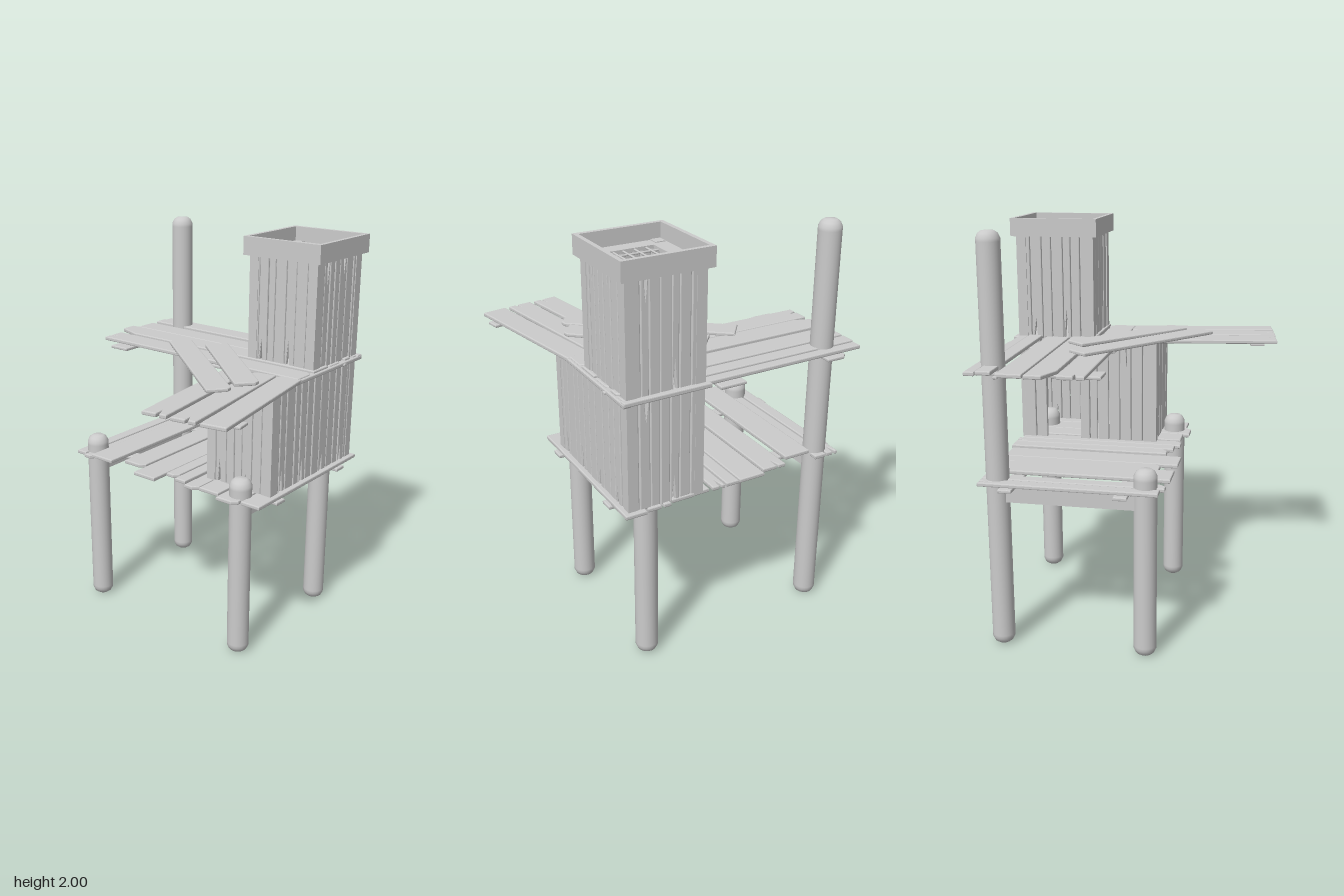
import * as THREE from 'three';

const mat = new THREE.MeshStandardMaterial({ color: 0xcccccc });

// Small seeded generator for worn board ends
let seed = 7;
const rnd = () => (seed = (seed * 16807) % 2147483647) / 2147483647;

function add(parent, geo, name, x = 0, y = 0, z = 0) {
  const m = new THREE.Mesh(geo, mat);
  m.name = name;
  m.position.set(x, y, z);
  parent.add(m);
  return m;
}

// Worn board: width along x, length along y, thickness along z.
// cut = clipped corner size, crack = depth of the split at the top end
function boardGeo(w, l, t, cut = 0, crack = 0) {
  const x = w / 2, y = l / 2, s = new THREE.Shape();
  s.moveTo(x, -y);
  s.lineTo(x, y);
  if (crack > 0) {
    s.lineTo(x * 0.3 + 0.008, y);
    s.lineTo(x * 0.2, y - crack);
    s.lineTo(x * 0.3 - 0.008, y);
  }
  s.lineTo(-x, y);
  if (cut > 0) {
    s.lineTo(-x, -y + cut);
    s.lineTo(-x + Math.min(cut, w * 0.35), -y);
  } else s.lineTo(-x, -y);
  const b = Math.min(0.005, t * 0.3);
  const g = new THREE.ExtrudeGeometry(s, {
    depth: t - 2 * b, bevelSize: b, bevelThickness: b, bevelOffset: -b, bevelSegments: 2,
  });
  return g.translate(0, 0, -t / 2 + b);
}

// Flat board from (x1,z1) to (x2,z2) centred at height y
function flatBoard(parent, name, x1, z1, x2, z2, w, y, t = 0.02, cut = 0, crack = 0) {
  const geo = boardGeo(w, Math.hypot(x2 - x1, z2 - z1), t, cut, crack).rotateX(Math.PI / 2);
  const m = add(parent, geo, name, (x1 + x2) / 2, y, (z1 + z2) / 2);
  m.rotation.y = Math.atan2(x2 - x1, z2 - z1);
  return m;
}

// Wall of upright boards between two ground points
function wall(parent, name, x1, z1, x2, z2, y0, y1, count) {
  const g = new THREE.Group();
  g.name = name;
  const len = Math.hypot(x2 - x1, z2 - z1);
  const weights = Array.from({ length: count }, () => 0.75 + rnd() * 0.5);
  const sum = weights.reduce((a, b) => a + b);
  let p = 0;
  weights.forEach((k, i) => {
    const w = (k / sum) * len, f = (p + w / 2) / len;
    p += w;
    const geo = boardGeo(w - 0.003, y1 - y0, 0.018 + rnd() * 0.008, 0, i % 3 === 1 ? 0.08 + rnd() * 0.07 : 0);
    if (rnd() > 0.5) geo.rotateZ(Math.PI);
    const m = add(g, geo, 'wallBoard', x1 + (x2 - x1) * f, (y0 + y1) / 2, z1 + (z2 - z1) * f);
    m.rotation.y = Math.atan2(-(z2 - z1), x2 - x1);
  });
  parent.add(g);
}

// Round post with softened ends
function post(parent, x, z, h) {
  const r = 0.055;
  const pts = [[0, 0], [0.03, 0.003], [0.045, 0.014], [r, 0.035], [r, 0.05],
    [r, h - 0.05], [r, h - 0.035], [0.045, h - 0.014], [0.03, h - 0.003], [0, h]];
  add(parent, new THREE.LatheGeometry(pts.map(p => new THREE.Vector2(...p)), 24), 'post', x, 0, z);
}

// Square ring lying flat: outer and inner half sizes
function ring(ox, oz, ix, iz, h) {
  const rect = (S, a, b) => new S([[-a, -b], [a, -b], [a, b], [-a, b]].map(p => new THREE.Vector2(...p)));
  const s = rect(THREE.Shape, ox, oz);
  s.holes.push(rect(THREE.Path, ix, iz));
  return new THREE.ExtrudeGeometry(s, { depth: h, bevelEnabled: false }).rotateX(-Math.PI / 2);
}

export function createModel() {
  const root = new THREE.Group();
  root.name = 'plankLookout';
  const group = name => {
    const g = new THREE.Group();
    g.name = name;
    root.add(g);
    return g;
  };

  // Four posts, one rising to full height
  const posts = group('posts');
  [[-0.515, -0.565, 2], [-0.515, 0.14, 0.94], [0.425, 0.14, 0.94], [0.425, -0.565, 0.94]]
    .forEach(p => post(posts, ...p));

  // Lower deck: boards [x start, x end, back z, front z, raise]
  const deck = group('deck');
  [[-0.6, -0.54, -0.64, 0.21, 0], [-0.53, -0.47, -0.64, 0.23, 0], [-0.46, -0.32, -0.6, 0.245, 0.02],
    [-0.305, -0.18, -0.62, 0.16, 0], [-0.17, -0.035, -0.64, 0.24, -0.004], [-0.02, 0.045, -0.65, 0.16, 0.004],
    [0.055, 0.12, -0.65, 0.185, 0.004], [0.135, 0.21, -0.64, 0.21, 0], [0.22, 0.335, -0.65, 0.2, 0.004],
    [0.345, 0.46, -0.66, 0.23, 0], [0.47, 0.575, -0.67, 0.2, 0]]
    .forEach(([a, b, z0, z1, up], i) =>
      flatBoard(deck, 'deckBoard', (a + b) / 2, z1, (a + b) / 2, z0, b - a, 0.842 + up, 0.02,
        i % 2 ? 0.025 : 0, i % 3 ? 0 : 0.06));
  // Slats and beams below the deck
  for (const z of [-0.5, 0.04]) flatBoard(deck, 'deckSlat', -0.63, z, 0.59, z, 0.065, 0.825, 0.018);
  for (const x of [-0.515, 0.425])
    add(deck, new THREE.BoxGeometry(0.06, 0.075, 0.62), 'deckBeam', x, 0.78, -0.21);

  // Lower hut with a doorway on its right side
  const hut = group('hut');
  const L = 0.185, R = 0.54, B = -0.635;
  wall(hut, 'hutFront', L, 0.065, R, 0.065, 0.845, 1.375, 7);
  wall(hut, 'hutBack', R, B, L, B, 0.845, 1.375, 7);
  wall(hut, 'hutLeft', R, 0.065, R, B, 0.845, 1.375, 12);
  wall(hut, 'hutRightRear', L, B, L, -0.51, 0.845, 1.375, 2);
  wall(hut, 'hutRightFront', L, -0.33, L, 0.065, 0.845, 1.375, 7);

  // Upper turret
  const turret = group('turret');
  const F = -0.265;
  wall(turret, 'turretFront', L, F, R, F, 1.39, 1.92, 7);
  wall(turret, 'turretBack', R, B, L, B, 1.39, 1.92, 7);
  wall(turret, 'turretLeft', R, F, R, B, 1.39, 1.92, 7);
  wall(turret, 'turretRight', L, B, L, F, 1.39, 1.92, 7);

  // Square corner posts of both storeys
  for (const x of [L + 0.01, R - 0.01]) {
    for (const z of [B + 0.01, F - 0.01])
      add(turret, new THREE.BoxGeometry(0.05, 0.55, 0.05), 'cornerPost', x, 1.655, z);
    for (const z of [B + 0.01, 0.055])
      add(hut, new THREE.BoxGeometry(0.045, 0.53, 0.045), 'cornerPost', x, 1.11, z);
  }

  // Parapet, recessed roof and its grille
  const cx = 0.362, cz = -0.45;
  add(turret, ring(0.217, 0.222, 0.196, 0.201, 0.09), 'parapet', cx, 1.91, cz);
  add(turret, ring(0.197, 0.202, 0.122, 0.13, 0.016), 'roofPanel', cx, 1.91, cz);
  for (const x of [-0.085, -0.03, 0.025, 0.07])
    add(turret, new THREE.CylinderGeometry(0.005, 0.005, 0.27, 8).rotateX(Math.PI / 2), 'grilleBar', cx + x, 1.918, cz);
  for (const z of [-0.09, 0.09])
    add(turret, new THREE.CylinderGeometry(0.005, 0.005, 0.25, 8).rotateZ(Math.PI / 2), 'grilleCrossBar', cx, 1.914, cz + z);

  // Upper platform: boards [z centre, width, right end x, cut, crack]
  const canopy = group('canopy');
  [[-0.627, 0.05, -0.675, 0.02, 0], [-0.562, 0.07, -0.675, 0.03, 0], [-0.443, 0.12, -0.685, 0.03, 0],
    [-0.305, 0.125, -0.71, 0.12, 0], [-0.165, 0.125, -0.675, 0.02, 0.04]]
    .forEach(([z, w, x, cut, crack], i) =>
      flatBoard(canopy, 'canopyBoard', 0.565, z, x, z, w, 1.386 + (i % 2) * 0.005, 0.02, cut, crack)
        .rotation.y += i === 3 ? Math.PI : 0);
  flatBoard(canopy, 'canopyStrip', -0.695, -0.5, 0.585, -0.5, 0.02, 1.378, 0.012);
  flatBoard(canopy, 'canopySlat', -0.525, -0.68, -0.525, -0.05, 0.11, 1.367, 0.016, 0.02);
  flatBoard(canopy, 'canopySlat', 0.05, -0.69, 0.05, -0.1, 0.13, 1.367, 0.016);
  flatBoard(canopy, 'backTrim', 0.15, -0.655, 0.575, -0.655, 0.035, 1.385, 0.022);
  flatBoard(canopy, 'sideTrim', 0.56, -0.67, 0.56, 0.07, 0.035, 1.38, 0.02);

  // Slanting front awning boards with a cross slat below
  [[0.245, -0.07, 0.355, 0.675, 0.03, 0.05], [0.385, -0.09, 0.5, 0.66, 0.02, 0.04], [0.515, -0.11, 0.645, 0.64, 0.02, 0]]
    .forEach(([x1, z1, x2, z2, cut, crack]) =>
      flatBoard(canopy, 'awningBoard', x1, z1, x2, z2, 0.122, 1.383, 0.02, cut, crack));
  flatBoard(canopy, 'awningSlat', 0.29, 0.585, 0.705, 0.51, 0.07, 1.367, 0.015);
  flatBoard(canopy, 'awningSlat', 0.2, -0.02, 0.56, -0.07, 0.06, 1.367, 0.015);

  // Loose diagonal boards on top
  flatBoard(canopy, 'looseBoard', 0.41, 0.297, -0.255, -0.237, 0.12, 1.407, 0.018, 0.02);
  flatBoard(canopy, 'looseBoard', 0.46, 0.155, -0.06, -0.292, 0.12, 1.412, 0.018, 0.02);

  return root;
}
